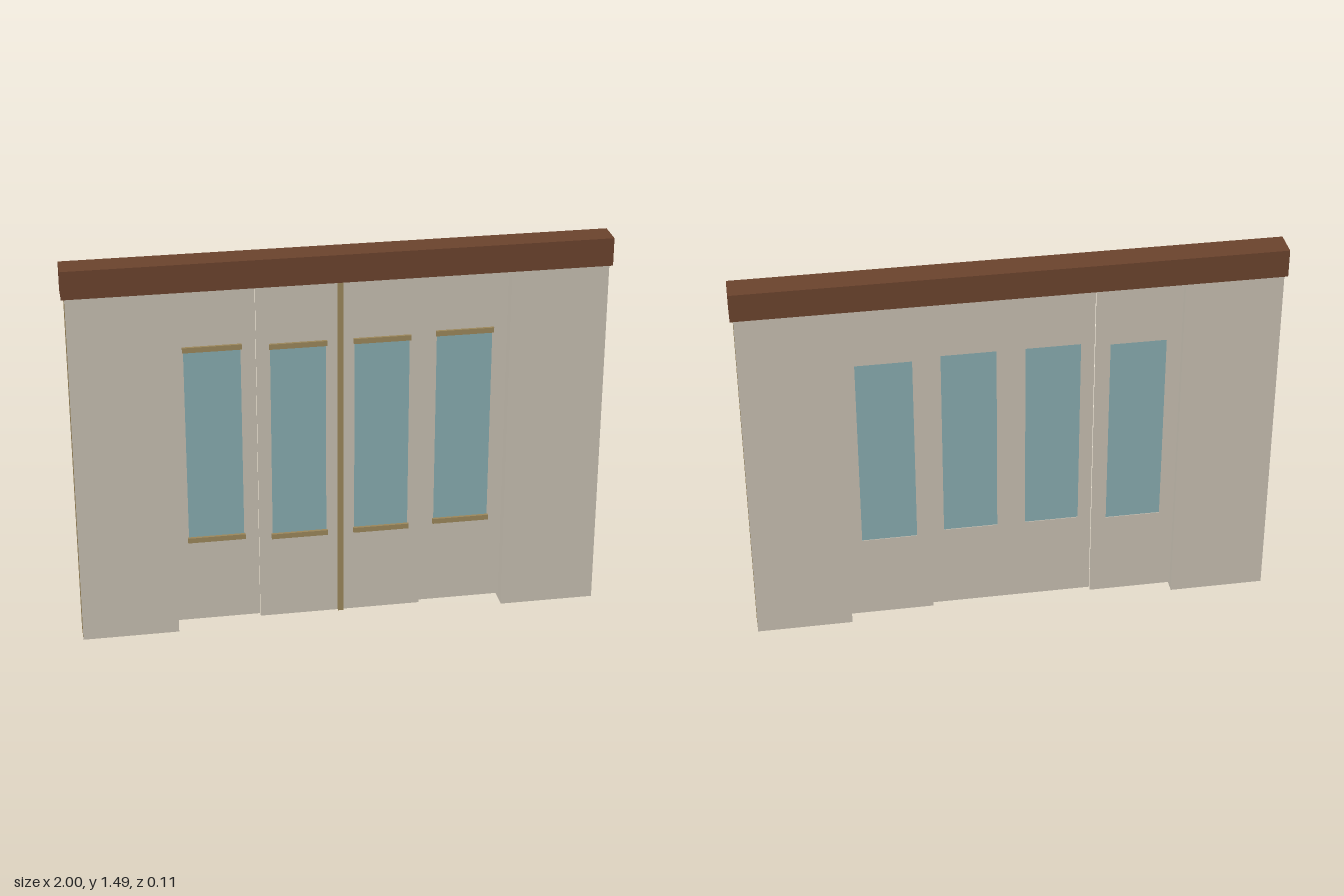
import * as THREE from 'three';

const mat = (name, color) => Object.assign(new THREE.MeshStandardMaterial({ color }), { name });

export function createModel() {
  const plaster = mat('plaster grey', 0xc6beb0);
  const tan = mat('tan wood', 0x9b865a);
  const brown = mat('brown wood', 0x6b432d);
  const glass = mat('blue glass', 0x87abaf);
  const model = new THREE.Group();
  model.name = 'slidingDoorWall';

  // Box given by its limits on each axis
  const box = (parent, name, material, [x0, x1], [y0, y1], [z0, z1]) => {
    const mesh = new THREE.Mesh(new THREE.BoxGeometry(x1 - x0, y1 - y0, z1 - z0), material);
    mesh.position.set((x0 + x1) / 2, (y0 + y1) / 2, (z0 + z1) / 2);
    mesh.name = name;
    parent.add(mesh);
  };

  // Door leaf with a window opening, a recessed pane and two front rails
  const doorLeaf = (name, x0, x1, w0, w1, z0, z1) => {
    const leaf = new THREE.Group();
    leaf.name = name;
    const rect = (Type, a, b, c, d) => new Type([[a, c], [b, c], [b, d], [a, d]].map(p => new THREE.Vector2(...p)));
    const outline = rect(THREE.Shape, x0, x1, 0.018, 1.372);
    outline.holes.push(rect(THREE.Path, w0, w1, 0.36, 1.135));
    const panel = new THREE.Mesh(
      new THREE.ExtrudeGeometry(outline, { depth: z1 - z0, bevelEnabled: false }), plaster);
    panel.position.z = z0;
    panel.name = 'doorPanel';
    leaf.add(panel);
    box(leaf, 'windowPane', glass, [w0, w1], [0.36, 1.135], [z0 + 0.003, z1 - 0.002]);
    for (const y of [0.35, 1.125]) {
      box(leaf, 'windowRail', tan, [w0 - 0.004, w1 + 0.004], [y, y + 0.02], [z1 - 0.001, z1 + 0.01]);
    }
    model.add(leaf);
  };

  // Header beam
  box(model, 'headerBeam', brown, [-1, 1], [1.38, 1.486], [-0.053, 0.053]);

  for (const side of [-1, 1]) {
    const span = (a, b) => (side > 0 ? [a, b] : [-b, -a]);
    // Fixed wall: tan core between two plaster sheets, with a plaster jamb
    const wall = new THREE.Group();
    wall.name = side > 0 ? 'leftWall' : 'rightWall';
    box(wall, 'wallCore', tan, span(0.634, 0.988), [0, 1.38], [-0.037, 0.037]);
    box(wall, 'jamb', plaster, span(0.626, 0.634), [0, 1.38], [-0.037, 0.037]);
    box(wall, 'frontSheet', plaster, span(0.626, 0.988), [0, 1.38], [0.037, 0.047]);
    box(wall, 'backSheet', plaster, span(0.626, 0.988), [0, 1.38], [-0.047, -0.037]);
    model.add(wall);
    // Inner leaf runs in front of the outer leaf
    const word = side > 0 ? 'left' : 'right';
    doorLeaf(word + 'InnerDoor', ...span(0, 0.308), ...span(0.053, 0.258), 0.002, 0.012);
    doorLeaf(word + 'OuterDoor', ...span(0.308, 0.626), ...span(0.363, 0.572), -0.018, -0.008);
  }

  // Strip covering the middle joint
  box(model, 'centreStrip', tan, [-0.01, 0.01], [0.018, 1.372], [0.011, 0.022]);
  return model;
}
